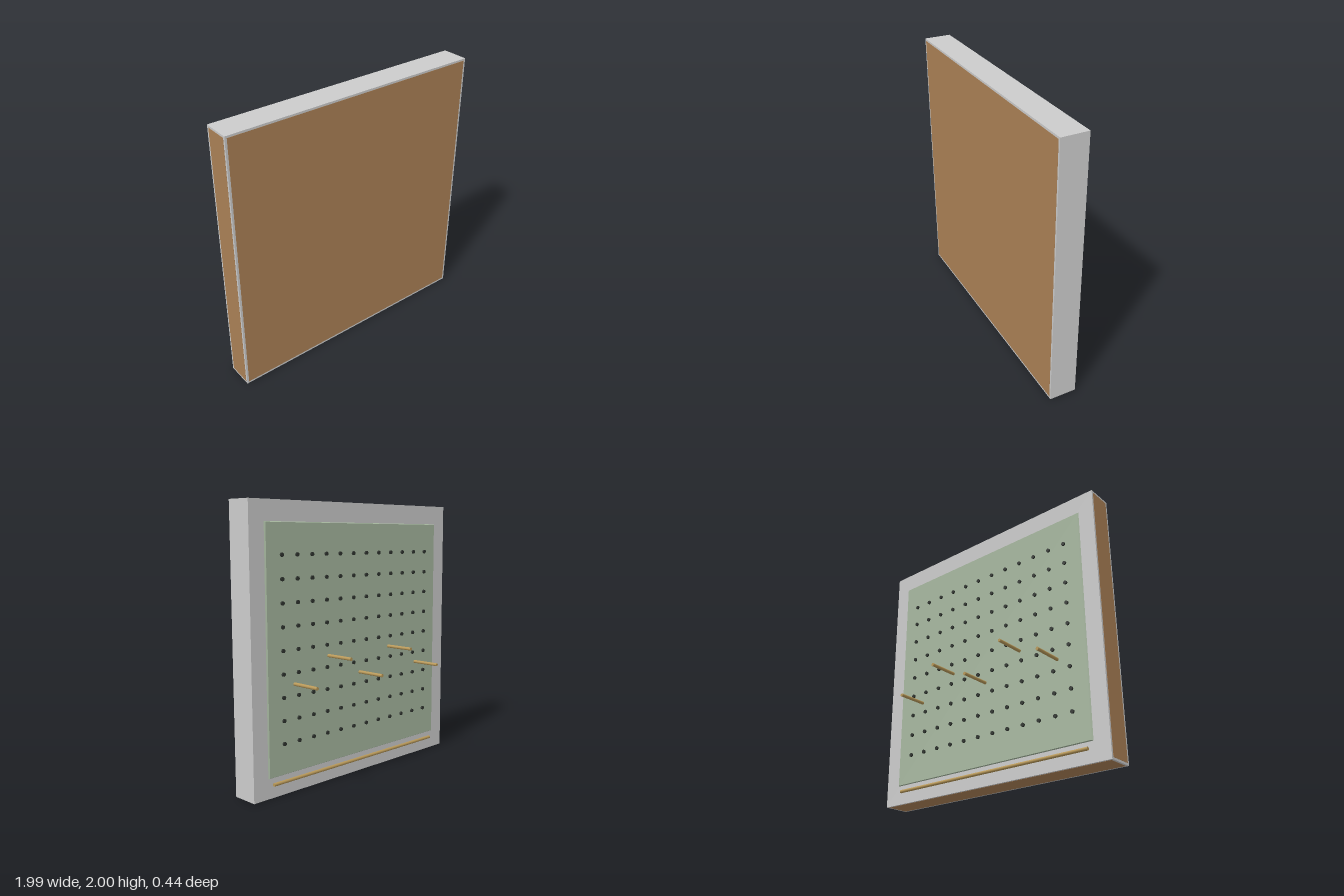
import * as THREE from 'three';

const mat = (color) => new THREE.MeshStandardMaterial({ color });

export function createModel() {
  const model = new THREE.Group();
  const grey = mat(0xcccccc), brown = mat(0xaa8055), sage = mat(0xa6b79f);
  const wood = mat(0xb89858), dark = mat(0x2e332e);

  const add = (name, geometry, material, x, y, z, parent = model) => {
    const mesh = new THREE.Mesh(geometry, material);
    mesh.name = name;
    mesh.position.set(x, y, z);
    parent.add(mesh);
    return mesh;
  };
  const group = (name) => {
    const g = new THREE.Group();
    g.name = name;
    model.add(g);
    return g;
  };

  // Thick square casing with brown panels inside its pale edges
  add('casing', new THREE.BoxGeometry(1.99, 2, 0.2), grey, 0, 1, 0.118);
  add('frontPanel', new THREE.BoxGeometry(1.96, 1.97, 0.01), brown, 0, 1, 0.214);
  add('bottomPanel', new THREE.BoxGeometry(1.96, 0.01, 0.17), brown, 0, 0.004, 0.118);
  add('rightPanel', new THREE.BoxGeometry(0.01, 1.97, 0.17), brown, -0.991, 1, 0.118);

  // Thin board on the back, its edges tapering outward to the casing
  const boardGeo = new THREE.BoxGeometry(1.75, 1.72, 0.01);
  const p = boardGeo.attributes.position;
  for (let i = 0; i < p.count; i++) {
    if (p.getZ(i) < 0) p.setXY(i, p.getX(i) * 0.988, p.getY(i) * 0.993);
  }
  boardGeo.computeVertexNormals();
  add('board', boardGeo, sage, 0, 1, 0.015);

  // Grid of dark peg holes
  const holes = group('pegHoles');
  const holeGeo = new THREE.CylinderGeometry(0.014, 0.014, 0.014, 12).rotateX(Math.PI / 2);
  for (let col = 0; col < 12; col++) {
    for (let row = 0; row < 9; row++) {
      add('pegHole', holeGeo, dark, (col - 5.5) * 0.134, 0.362 + row * 0.16, 0.005, holes);
    }
  }

  // Pegs standing out of the back, alternating low and high
  const pegs = group('pegs');
  const pegGeo = new THREE.CylinderGeometry(0.012, 0.012, 0.232, 16).rotateX(Math.PI / 2);
  for (let i = 0; i < 5; i++) {
    add('peg', pegGeo, wood, (i - 2) * 0.318, i % 2 ? 0.922 : 0.762, -0.104, pegs);
  }

  // Slim rail beneath the board
  const railGeo = new THREE.CylinderGeometry(0.012, 0.012, 1.67, 16).rotateZ(Math.PI / 2);
  add('rail', railGeo, wood, 0, 0.095, 0.007);

  return model;
}
